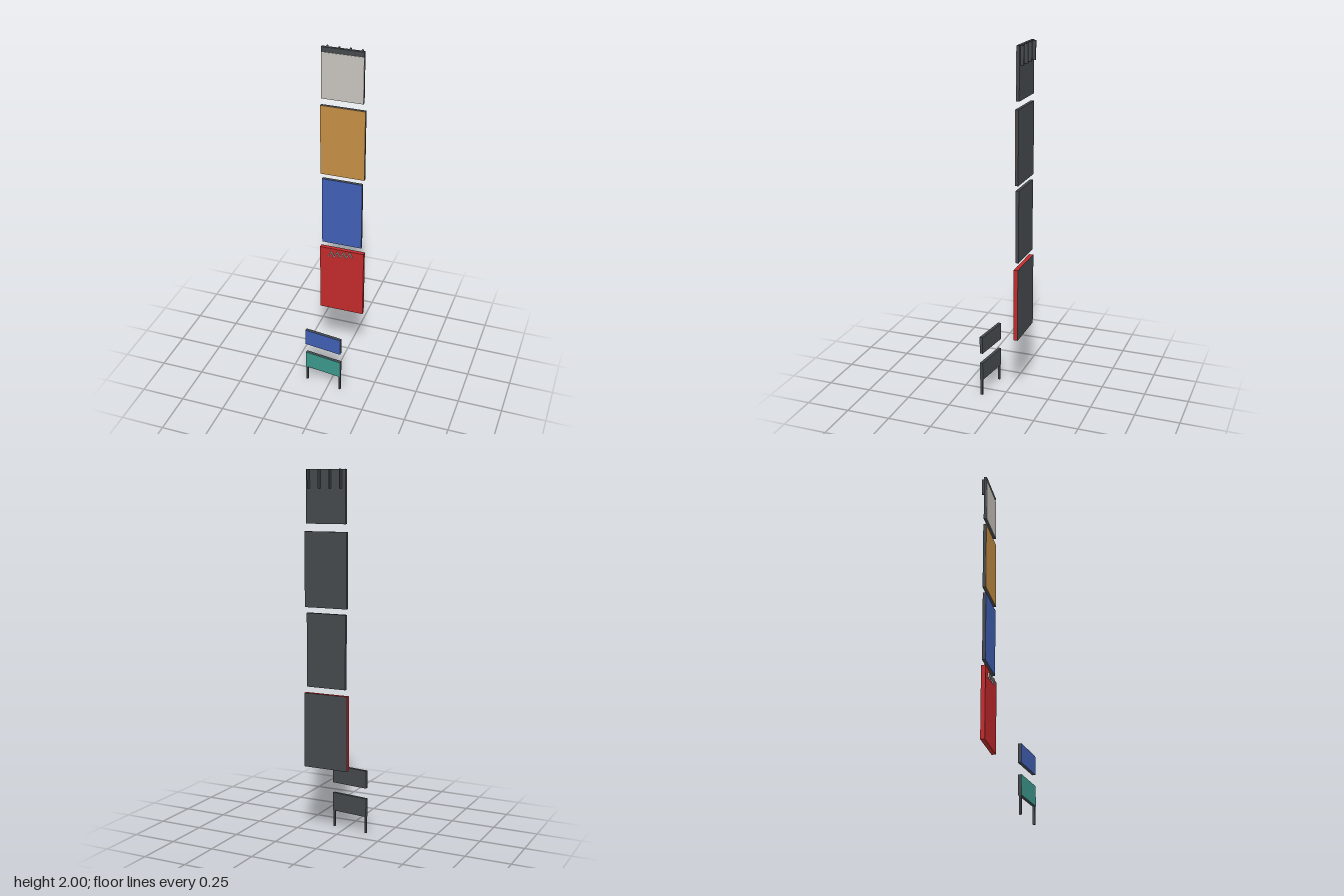
import * as THREE from 'three';

const mat = (name, color) => {
  const m = new THREE.MeshStandardMaterial({ color });
  m.name = name;
  return m;
};

export function createModel() {
  const model = new THREE.Group();
  model.name = 'signStack';
  const dark = mat('dark metal', 0x45494d);
  const grey = mat('pale grey', 0xc8c4be);
  const amber = mat('amber', 0xc48f45);
  const blue = mat('blue', 0x4060b4);
  const red = mat('red', 0xc22a2c);
  const teal = mat('teal', 0x3c988c);

  // box given by its limits on each axis
  const box = (parent, name, material, [x0, x1], [y0, y1], [z0, z1]) => {
    const mesh = new THREE.Mesh(new THREE.BoxGeometry(x1 - x0, y1 - y0, z1 - z0), material);
    mesh.position.set((x0 + x1) / 2, (y0 + y1) / 2, (z0 + z1) / 2);
    mesh.name = name;
    parent.add(mesh);
    return mesh;
  };

  // upper panels: dark body with a thin coloured face
  const panel = (name, face, x, y, faceTop) => {
    const group = new THREE.Group();
    group.name = name;
    box(group, name + 'Body', dark, x, y, [-0.114, -0.098]);
    box(group, name + 'Face', face, x, [y[0], faceTop], [-0.098, -0.096]);
    model.add(group);
    return group;
  };
  const top = panel('topPanel', grey, [-0.106, 0.122], [1.72, 2], 1.973);
  panel('amberPanel', amber, [-0.113, 0.133], [1.28, 1.68], 1.68);
  panel('bluePanel', blue, [-0.106, 0.122], [0.85, 1.25], 1.25);

  // hanger bars on the back of the top panel
  for (const x of [-0.081, -0.019, 0.041, 0.104])
    box(top, 'hangerBar', dark, [x - 0.004, x + 0.004], [1.9, 2], [-0.132, -0.114]);

  // red panel with dark back plate
  const redPanel = new THREE.Group();
  redPanel.name = 'redPanel';
  model.add(redPanel);
  box(redPanel, 'redBody', red, [-0.118, 0.138], [0.405, 0.815], [-0.114, -0.092]);
  box(redPanel, 'redBackPlate', dark, [-0.118, 0.138], [0.405, 0.815], [-0.116, -0.114]);

  // abstract raised zigzag ornament
  for (let i = 0; i < 8; i++) {
    const x = -0.06 + i * 0.018, y = 0.778 + i * 0.002;
    const bar = box(redPanel, 'ornamentBar', grey, [x - 0.003, x + 0.003], [y - 0.018, y + 0.018], [-0.092, -0.084]);
    bar.rotation.z = i % 2 ? 0.46 : -0.46;
  }

  // lower pair, turned slightly, the bottom one on two legs
  const stand = new THREE.Group();
  stand.name = 'lowerSigns';
  stand.position.set(-0.0305, 0, 0.107);
  stand.rotation.y = -0.13;
  model.add(stand);
  const w = [-0.11, 0.11];
  const lower = (name, face, y) => {
    box(stand, name + 'Body', dark, w, y, [-0.009, 0.007]);
    box(stand, name + 'Face', face, w, y, [0.007, 0.009]);
  };
  lower('smallBlueSign', blue, [0.26, 0.36]);
  lower('tealSign', teal, [0.095, 0.2]);
  for (const x of [-0.105, 0.105])
    box(stand, 'leg', dark, [x - 0.005, x + 0.005], [0, 0.097], [-0.006, 0.006]);

  return model;
}
